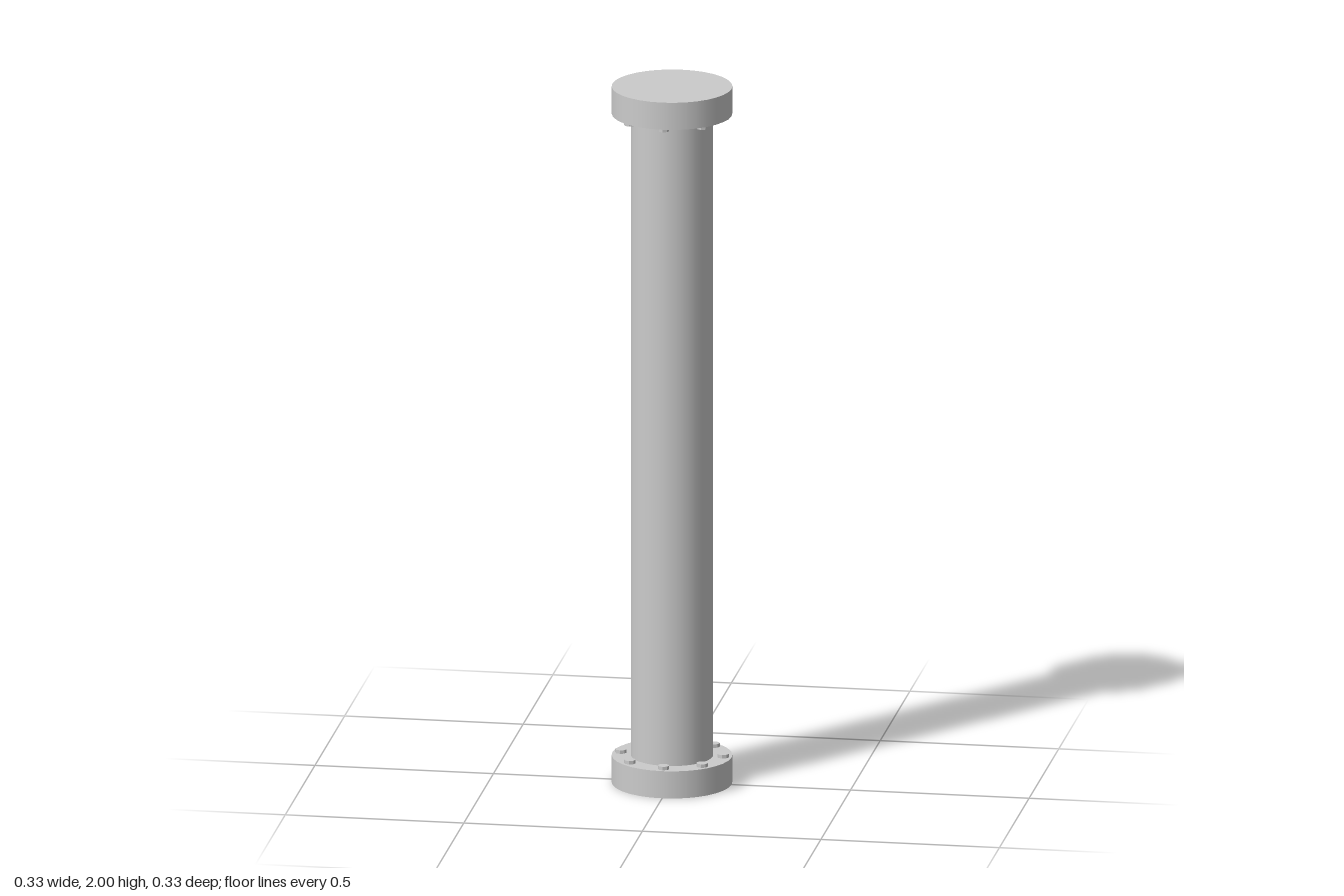
import * as THREE from 'three';

const HEIGHT = 2, PIPE_R = 0.114, FLANGE_R = 0.167, FLANGE_H = 0.078;
const BOLT_COUNT = 8, BOLT_CIRCLE = 0.143, BOLT_R = 0.016, BOLT_H = 0.01;

export function createModel() {
  const model = new THREE.Group();
  model.name = 'flangedPipe';
  const smooth = new THREE.MeshStandardMaterial({ color: 0xcccccc });
  const faceted = new THREE.MeshStandardMaterial({ color: 0xcccccc, flatShading: true });

  const addCylinder = (parent, name, radius, height, sides, material, x, y, z, open = false) => {
    const mesh = new THREE.Mesh(new THREE.CylinderGeometry(radius, radius, height, sides, 1, open), material);
    mesh.name = name;
    mesh.position.set(x, y, z);
    parent.add(mesh);
  };

  // Long pipe between the flanges
  addCylinder(model, 'pipe', PIPE_R, HEIGHT - 2 * FLANGE_H, 32, smooth, 0, HEIGHT / 2, 0, true);

  // Solid end flange with a ring of bolt heads on its inner face
  for (const end of ['bottom', 'top']) {
    const flange = new THREE.Group();
    flange.name = end + 'Flange';
    addCylinder(flange, end + 'Disc', FLANGE_R, FLANGE_H, 32, smooth, 0, FLANGE_H / 2, 0);
    for (let i = 0; i < BOLT_COUNT; i++) {
      const a = (i / BOLT_COUNT) * Math.PI * 2;
      addCylinder(flange, end + 'Bolt' + (i + 1), BOLT_R, BOLT_H, 8, faceted,
        Math.cos(a) * BOLT_CIRCLE, FLANGE_H + BOLT_H / 2, Math.sin(a) * BOLT_CIRCLE);
    }
    if (end === 'top') {
      flange.rotation.x = Math.PI;
      flange.position.y = HEIGHT;
    }
    model.add(flange);
  }
  return model;
}
